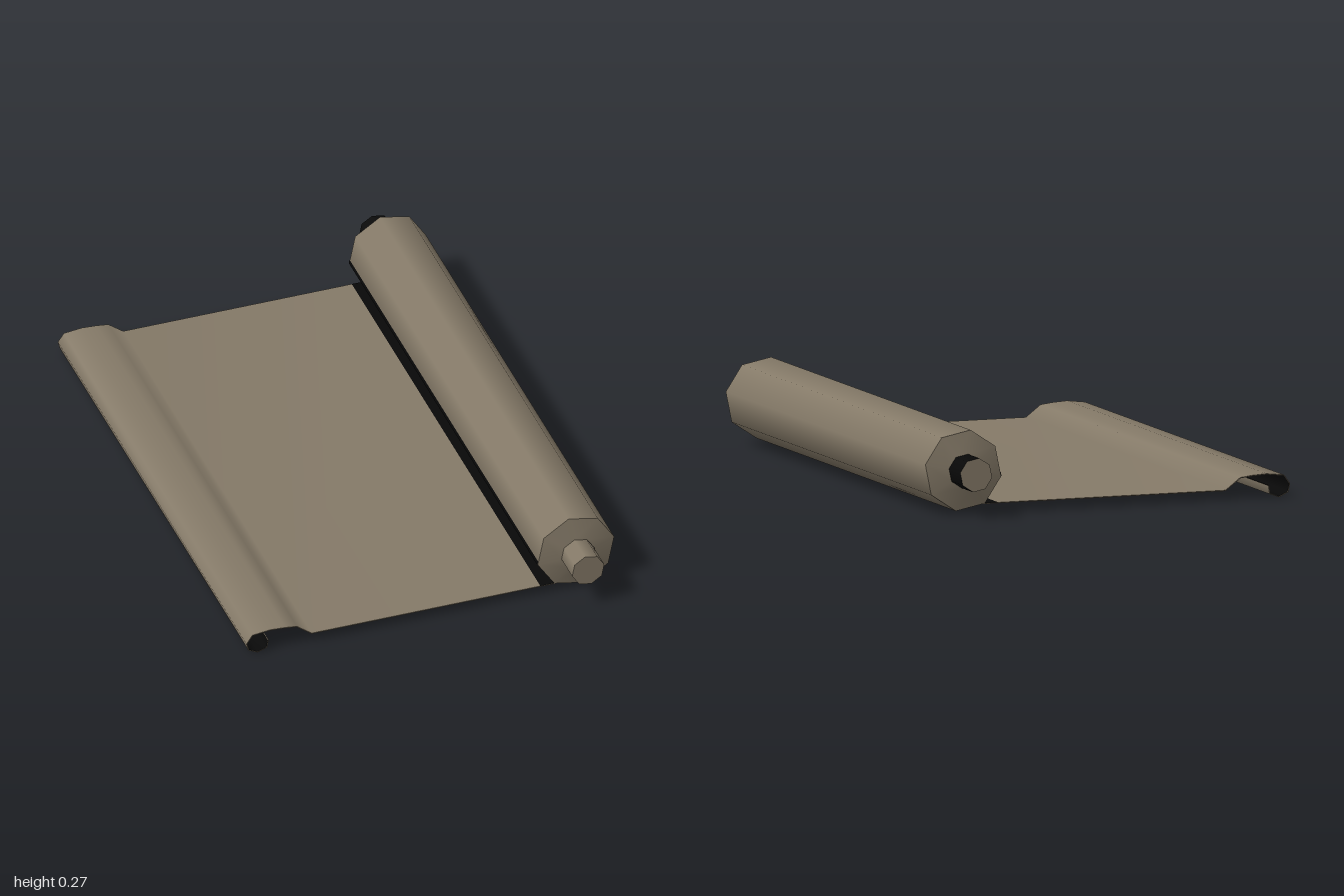
import * as THREE from 'three';

const parchment = new THREE.MeshStandardMaterial({ color: 0x857a68, side: THREE.DoubleSide });
parchment.name = 'parchment';
const dark = new THREE.MeshStandardMaterial({ color: 0x080808, side: THREE.DoubleSide });
dark.name = 'dark recess';

const HALF = 0.885; // half length of the sheet and roll along z
const CX = 0.49, CY = 0.14, R = 0.131, ROD = 0.055;
const rad = THREE.MathUtils.degToRad;
const START = rad(11 + 90); // turns the octagons so a corner sits at 11 degrees

// Eight-sided cylinder along z; rFront is the +z end
function barrel(rFront, rBack, z0, z1, open, start = START, length = Math.PI * 2, sides = 8) {
  const g = new THREE.CylinderGeometry(rFront, rBack, z1 - z0, sides, 1, open, start, length);
  return g.rotateX(Math.PI / 2).translate(CX, CY, (z0 + z1) / 2);
}

// Band between two x,y paths at depths za and zb; each group is [first segment, count, material]
function ribbon(a, za, b, zb, groups = []) {
  const pos = [], idx = [];
  a.forEach((p, i) => {
    pos.push(p.x, p.y, za, b[i].x, b[i].y, zb);
    const k = 2 * i;
    if (i > 0) idx.push(k - 2, k, k + 1, k - 2, k + 1, k - 1);
  });
  const g = new THREE.BufferGeometry();
  g.setAttribute('position', new THREE.Float32BufferAttribute(pos, 3));
  g.setIndex(idx);
  for (const [first, count, material] of groups) g.addGroup(first * 6, count * 6, material);
  g.computeVertexNormals();
  return g;
}

export function createModel() {
  const group = new THREE.Group();
  group.name = 'scroll';
  const add = (name, geometry, material) => {
    const mesh = new THREE.Mesh(geometry, material);
    mesh.name = name;
    group.add(mesh);
  };

  // Rolled part, with a dark facet where it meets the sheet
  add('roll', barrel(R, R, -HALF, HALF, true, START + rad(225), rad(315), 7), parchment);
  add('rollCrease', barrel(R, R, -HALF, HALF, true, START + rad(180), rad(45), 1), dark);
  const lip = [new THREE.Vector2(0.36, 0.115), new THREE.Vector2(0.3625, 0.128)];
  add('rollCreaseLip', ribbon(lip, HALF, lip, -HALF), dark);

  // Shallow tapered ends
  add('rollEndFront', barrel(ROD, R, HALF, 0.9, true), parchment);
  add('rollEndBack', barrel(R, ROD, -0.9, -HALF, true), parchment);

  // Rod ends; the back one has dark sides, the front one a thin dark line at its base
  add('rodFront', barrel(ROD, ROD, 0.89, 1, false), parchment);
  add('rodBack', barrel(ROD, ROD, -1, -0.89, false), [dark, parchment, parchment]);
  const line = ROD + 0.001;
  add('rodBaseLine', barrel(line, line, 0.9, 0.907, true, START - rad(90), rad(135), 3), dark);

  // Sheet profile from the free edge of the curl to the roll
  const top = [[-0.545, 0.04], [-0.55, 0.012], [-0.582, 0], [-0.613, 0.015], [-0.62, 0.042],
    [-0.6, 0.071], [-0.54, 0.078], [-0.49, 0.075], [-0.45, 0.07], [-0.4, 0.032],
    [0.37, 0.032], [0.425, 0.032]].map(([x, y]) => new THREE.Vector2(x, y));

  // Inner face, set in by the thickness of the sheet
  const last = top.length - 1;
  const bottom = top.map((p, i) => {
    const d = top[Math.min(i + 1, last)].clone().sub(top[Math.max(i - 1, 0)]).normalize();
    return new THREE.Vector2(p.x + d.y * 0.003, p.y - d.x * 0.003);
  });

  // The inside of the curl and the strip under the roll are dark
  const colours = [parchment, dark];
  add('sheetTop', ribbon(top, HALF, top, -HALF, [[0, last - 1, 0], [last - 1, 1, 1]]), colours);
  add('sheetUnderside', ribbon(bottom, -HALF, bottom, HALF, [[0, 6, 1], [6, last - 6, 0]]), colours);
  add('sheetEdgeFront', ribbon(bottom, HALF, top, HALF), parchment);
  add('sheetEdgeBack', ribbon(top, -HALF, bottom, -HALF), parchment);

  return group;
}
